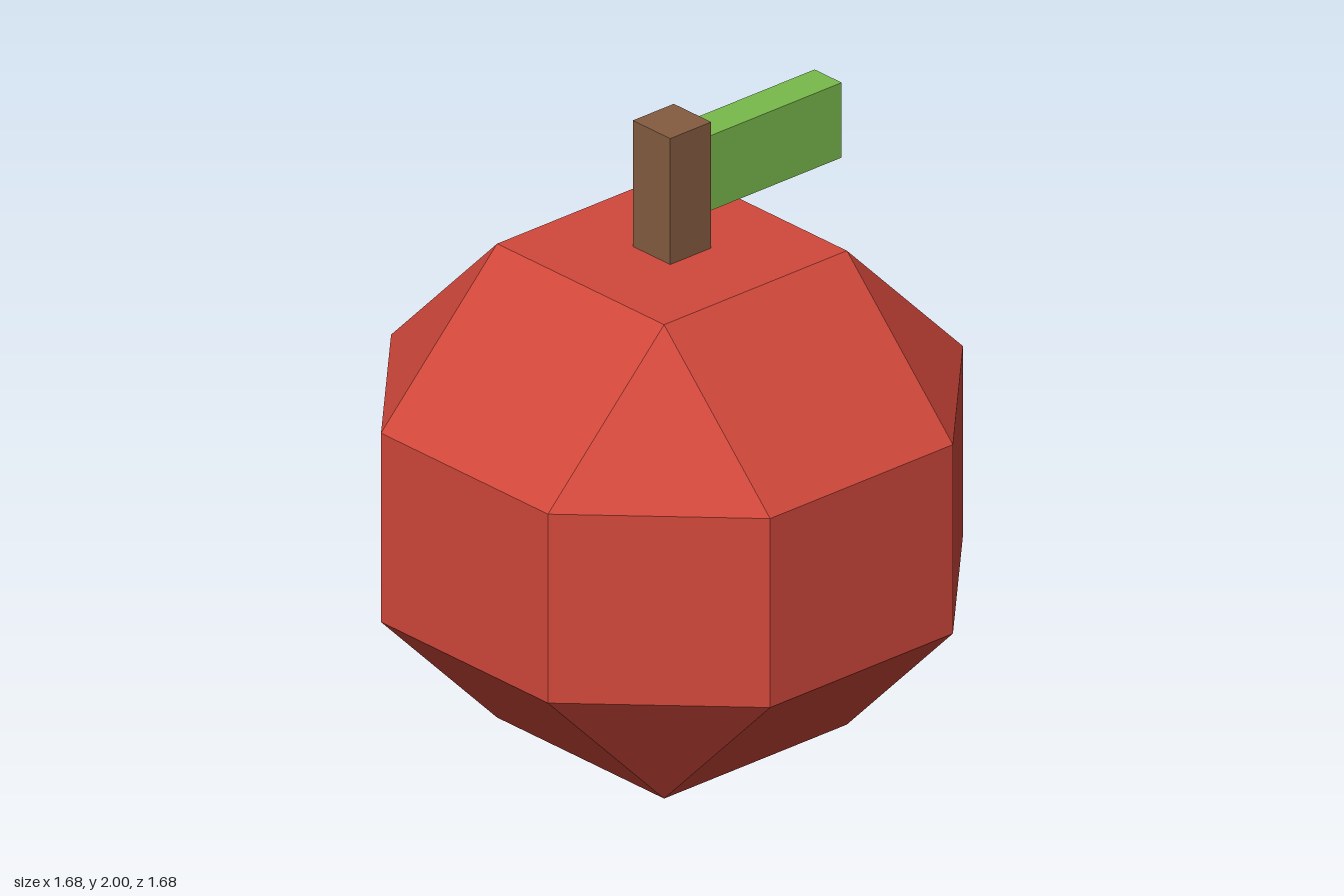
import * as THREE from 'three';
import { ConvexGeometry } from 'three/addons/geometries/ConvexGeometry.js';

const material = (name, color) => new THREE.MeshStandardMaterial({ name, color, flatShading: true });

function addPart(group, name, geometry, mat, x, y, z) {
  const mesh = new THREE.Mesh(geometry, mat);
  mesh.name = name;
  mesh.position.set(x, y, z);
  group.add(mesh);
}

// Faceted ball: a square cap at each end, chamfered out to two eight-sided rings
function fruitGeometry() {
  const inner = 0.37, outer = 0.84, ring = 0.315, cap = 0.79;
  const points = [];
  for (const sx of [-1, 1]) for (const sy of [-1, 1]) for (const sz of [-1, 1]) {
    points.push(
      new THREE.Vector3(sx * inner, sy * cap, sz * inner),
      new THREE.Vector3(sx * outer, sy * ring, sz * inner),
      new THREE.Vector3(sx * inner, sy * ring, sz * outer),
    );
  }
  return new ConvexGeometry(points);
}

export function createModel() {
  const group = new THREE.Group();
  group.name = 'apple';
  const red = material('apple red', 0xd1483b);
  const brown = material('stem brown', 0x855c40);
  const green = material('leaf green', 0x78ba4b);

  addPart(group, 'fruit', fruitGeometry(), red, 0, 0.79, 0);
  addPart(group, 'stem', new THREE.BoxGeometry(0.166, 0.42, 0.166), brown, 0, 1.79, 0);
  addPart(group, 'leaf', new THREE.BoxGeometry(0.55, 0.25, 0.12), green, 0.357, 1.815, 0);
  return group;
}
